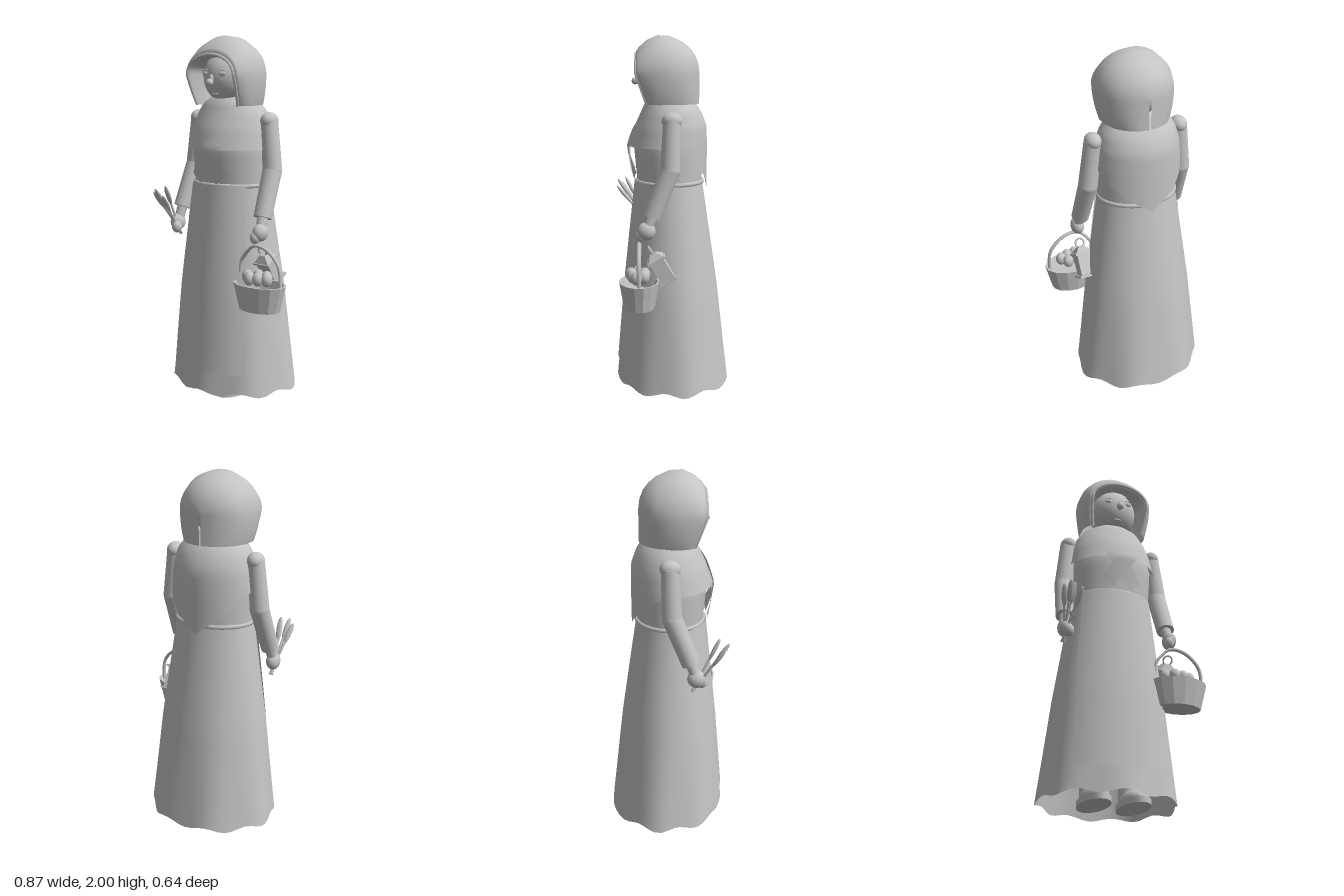
import * as THREE from 'three';
import { mergeVertices } from 'three/addons/utils/BufferGeometryUtils.js';

const CX = -0.06; // body axis
const clay = new THREE.MeshStandardMaterial({ color: 0xc4c4c4, side: THREE.DoubleSide });
clay.name = 'light grey';
const V = (x, y, z) => new THREE.Vector3(x, y, z);

export function createModel() {
  const model = new THREE.Group();
  const add = (name, geo, parent = model) => {
    const m = new THREE.Mesh(geo, clay);
    m.name = name;
    parent.add(m);
    return m;
  };
  const group = (name, parent = model) => {
    const g = new THREE.Group();
    g.name = name;
    parent.add(g);
    return g;
  };
  // smooth sheet from fn(u, v) -> [x, y, z]
  const sheet = (nu, nv, fn) => {
    const pos = [], idx = [];
    for (let j = 0; j <= nv; j++) for (let i = 0; i <= nu; i++) pos.push(...fn(i / nu, j / nv));
    for (let j = 0; j < nv; j++) for (let i = 0; i < nu; i++) {
      const a = j * (nu + 1) + i, b = a + 1, c = a + nu + 1, d = c + 1;
      idx.push(a, b, d, a, d, c);
    }
    let g = new THREE.BufferGeometry();
    g.setAttribute('position', new THREE.Float32BufferAttribute(pos, 3));
    g.setIndex(idx);
    g = mergeVertices(g, 1e-5);
    g.computeVertexNormals();
    return g;
  };
  // linear lookup in rows sorted by their first column
  const lookup = (rows, t) => {
    let i = 0;
    while (i < rows.length - 2 && t > rows[i + 1][0]) i++;
    const f = THREE.MathUtils.clamp((t - rows[i][0]) / (rows[i + 1][0] - rows[i][0]), 0, 1);
    return rows[i].map((a, k) => a + (rows[i + 1][k] - a) * f);
  };
  const around = (rows, y, a, off = 0) => {
    const [, rx, rz, cz] = lookup(rows, y);
    return [CX + (rx + off) * Math.sin(a), y, cz + (rz + off) * Math.cos(a)];
  };
  const ball = (name, p, rx, ry, rz, parent, w = 24, h = 16) => {
    const m = add(name, new THREE.SphereGeometry(1, w, h), parent);
    m.position.set(...p);
    m.scale.set(rx, ry, rz);
    return m;
  };
  const limb = (name, a, b, ra, rb, parent, n = 16) => {
    const d = b.clone().sub(a);
    const m = add(name, new THREE.CylinderGeometry(rb, ra, d.length(), n), parent);
    m.position.copy(a).addScaledVector(d, 0.5);
    m.quaternion.setFromUnitVectors(V(0, 1, 0), d.normalize());
    return m;
  };

  // skirt with a gently wavy hem: rows are y, rx, rz, centre z
  const skirt = [[0.02, 0.375, 0.322, 0], [0.6, 0.31, 0.262, 0.01], [1.19, 0.225, 0.185, 0.022]];
  add('skirt', sheet(56, 14, (u, v) => {
    const a = (u * 2 - 1) * Math.PI, low = (1 - v) ** 2;
    const y = 0.02 + 1.17 * v + low * 0.012 * (1 + Math.cos(9 * a));
    return around(skirt, y, a, 0.008 * low * Math.cos(7 * a));
  }));
  add('apron', sheet(20, 14, (u, v) => {
    const a = (u * 2 - 1) * (0.72 + 0.23 * v);
    return around(skirt, 0.155 + 1.035 * v, a, 0.014);
  }));
  const belt = add('waistband', new THREE.TorusGeometry(1, 0.05, 8, 40));
  belt.rotation.x = Math.PI / 2;
  belt.scale.set(0.222, 0.187, 0.25);
  belt.position.set(CX, 1.19, 0.022);

  // bodice and pointed shawl
  const bodice = [[1.18, 0.224, 0.182, 0.022], [1.42, 0.235, 0.198, 0.028], [1.62, 0.16, 0.12, 0.02]];
  add('bodice', sheet(40, 8, (u, v) => around(bodice, 1.18 + 0.44 * v, (u * 2 - 1) * Math.PI)));
  const shawl = [[1.15, 0.25, 0.2, 0.012], [1.39, 0.253, 0.22, 0.03], [1.5, 0.237, 0.203, 0.016],
    [1.58, 0.212, 0.17, 0.012], [1.64, 0.17, 0.135, 0.02], [1.68, 0.09, 0.09, 0.03]];
  add('shawl', sheet(48, 14, (u, v) => {
    const a = (u * 2 - 1) * Math.PI;
    const y0 = 1.39 - 0.24 * Math.max(0, (Math.abs(a) - 1.75) / (Math.PI - 1.75));
    return around(shawl, y0 + (1.68 - y0) * v, a);
  }));
  // crossed shawl ends lying on the chest
  for (const s of [-1, 1]) {
    add('crossedBand', sheet(4, 14, (u, v) => {
      const w = (u - 0.5) * 0.085;
      const x = s * (-0.088 + 0.23 * v) + w * 0.8, y = 1.225 + 0.31 * v - s * w * 0.6;
      const [, rx, rz, cz] = lookup(shawl, y);
      return [CX + x, y, cz + rz * Math.sqrt(1 - (x / rx) ** 2) + 0.01 + 0.003 * s];
    }));
  }

  // head and face
  const head = group('head');
  ball('face', [CX, 1.775, 0.06], 0.135, 0.14, 0.13, head, 32, 24);
  const hair = add('hair', new THREE.SphereGeometry(1, 32, 8, 0, Math.PI * 2, 0, 1.0), head);
  hair.scale.set(0.14, 0.145, 0.136);
  hair.position.set(CX, 1.775, 0.06);
  for (const s of [-1, 1]) {
    ball('eye', [CX + s * 0.057, 1.795, 0.176], 0.025, 0.013, 0.008, head, 16, 10);
    ball('pupil', [CX + s * 0.057, 1.795, 0.182], 0.01, 0.01, 0.005, head, 12, 8);
    const brow = add('eyebrow', new THREE.TorusGeometry(0.03, 0.003, 6, 10, 1.8), head);
    brow.rotation.z = Math.PI / 2 - 0.9;
    brow.position.set(CX + s * 0.057, 1.788, 0.175);
  }
  ball('noseBridge', [CX, 1.765, 0.195], 0.011, 0.03, 0.014, head, 12, 10);
  ball('noseTip', [CX, 1.75, 0.213], 0.02, 0.02, 0.021, head, 14, 10);
  ball('mouth', [CX, 1.687, 0.162], 0.024, 0.007, 0.007, head, 14, 8);

  // hood: arches stacked from back to front, then folded inward
  const arches = [[-0.145, 0.005, 0.01], [-0.138, 0.06, 0.06], [-0.12, 0.108, 0.105], [-0.09, 0.15, 0.143],
    [-0.05, 0.185, 0.175], [0.02, 0.212, 0.206], [0.09, 0.213, 0.21], [0.15, 0.203, 0.183],
    [0.195, 0.186, 0.142], [0.208, 0.172, 0.12], [0.195, 0.155, 0.1], [0.09, 0.142, 0.085]];
  const archPoint = ([z, w, h], u) => {
    const a = (1 - 2 * u) * 2.6, over = Math.max(0, (Math.abs(a) - Math.PI / 2) / (2.6 - Math.PI / 2));
    const tilt = z > 0.1 ? 0.055 * over * (z - 0.1) / 0.1 : 0;
    const c = Math.min(Math.abs(a), Math.PI / 2);
    return [CX + Math.sign(a) * w * Math.sin(c) * (1 - 0.12 * over * over),
      1.79 + h * Math.cos(c) - 0.165 * over, z - tilt];
  };
  add('hood', sheet(48, arches.length - 1, (u, v) => archPoint(arches[Math.round(v * (arches.length - 1))], u)), head);
  const rimPath = [];
  for (let i = 0; i <= 20; i++) rimPath.push(V(...archPoint([0.208, 0.165, 0.11], i / 20)));
  add('hoodRim', new THREE.TubeGeometry(new THREE.CatmullRomCurve3(rimPath), 48, 0.009, 6), head);

  // arms
  const arm = (side, shoulder, elbow, wrist, hand) => {
    const g = group(side + 'Arm');
    ball('shoulder', shoulder.toArray(), 0.046, 0.046, 0.056, g);
    limb('upperSleeve', elbow, shoulder, 0.054, 0.048, g);
    ball('elbow', elbow.toArray(), 0.054, 0.054, 0.054, g);
    limb('lowerSleeve', wrist, elbow, 0.05, 0.054, g);
    limb('wrist', hand, wrist, 0.028, 0.03, g, 12);
    ball('hand', hand.toArray(), 0.038, 0.05, 0.05, g);
    ball('thumb', [hand.x * 0.95, hand.y - 0.025, hand.z + 0.03], 0.028, 0.035, 0.03, g, 14, 10);
  };
  arm('right', V(-0.312, 1.545, 0.015), V(-0.335, 1.28, 0.025), V(-0.352, 1.03, 0.125), V(-0.36, 0.945, 0.155));
  arm('left', V(0.198, 1.545, 0.015), V(0.228, 1.28, 0.025), V(0.24, 1.03, 0.125), V(0.248, 0.955, 0.155));

  // bunch of spoons in the right hand
  const spoons = group('spoons');
  for (const [x, y, z] of [[-0.395, 1.08, 0.27], [-0.345, 1.11, 0.25], [-0.37, 1.1, 0.29], [-0.322, 1.07, 0.29]]) {
    const bottom = V(-0.36 - (x + 0.36) * 0.2, 0.87, 0.13), top = V(x, y, z);
    limb('spoonHandle', bottom, top, 0.007, 0.007, spoons, 6);
    const bowl = ball('spoonBowl', [x, y, z], 0.017, 0.065, 0.011, spoons, 10, 8);
    bowl.quaternion.setFromUnitVectors(V(0, 1, 0), top.sub(bottom).normalize());
  }

  // basket with eggs
  const basket = group('basket');
  basket.position.set(0.276, 0.54, 0.195);
  const tub = add('basketTub', new THREE.LatheGeometry([[0, 0], [0.125, 0], [0.162, 0.145],
    [0.148, 0.145], [0.122, 0.085], [0, 0.085]].map(([x, y]) => new THREE.Vector2(x, y)), 14).toNonIndexed(), basket);
  tub.geometry.computeVertexNormals();
  tub.scale.z = 0.68;
  const bend = [[-0.138, 0.12], [-0.125, 0.25], [-0.105, 0.285], [-0.04, 0.345], [0.045, 0.335],
    [0.115, 0.275], [0.135, 0.23], [0.14, 0.12]].map(([x, y]) => V(x, y, 0));
  const handle = add('basketHandle', new THREE.TubeGeometry(new THREE.CatmullRomCurve3(bend), 28, 0.009, 6), basket);
  handle.scale.z = 1.3;
  for (const [x, z] of [[-0.075, 0.01], [-0.035, 0.045], [-0.03, -0.03], [0.015, 0.035], [0.03, -0.025], [0.06, 0.015]])
    ball('egg', [x, 0.175, z], 0.031, 0.038, 0.031, basket, 12, 9);

  // lantern hanging tilted beside the basket
  const lantern = group('lantern');
  lantern.position.set(0.246, 0.742, 0.07);
  lantern.rotation.x = 0.53;
  add('lanternBody', new THREE.BoxGeometry(0.085, 0.125, 0.08), lantern);
  for (const y of [-0.07, 0.063])
    add('lanternPlate', new THREE.BoxGeometry(0.11, 0.012, 0.105), lantern).position.y = y;
  const roof = add('lanternRoof', new THREE.CylinderGeometry(0.025, 0.07, 0.035, 4).toNonIndexed(), lantern);
  roof.geometry.computeVertexNormals();
  roof.rotation.y = Math.PI / 4;
  roof.position.y = 0.085;
  add('lanternRing', new THREE.TorusGeometry(0.026, 0.005, 6, 18), lantern).position.y = 0.122;

  // legs and shoes under the skirt
  for (const x of [-0.167, 0.047]) {
    limb('leg', V(x, 0.06, 0.02), V(x, 0.65, 0.02), 0.05, 0.06);
    const sole = add('sole', new THREE.CylinderGeometry(1, 1, 0.03, 28));
    sole.scale.set(0.08, 1, 0.158);
    sole.position.set(x, 0.015, 0.102);
    const upper = add('shoe', new THREE.SphereGeometry(1, 24, 8, 0, Math.PI * 2, 0, Math.PI / 2));
    upper.scale.set(0.072, 0.065, 0.145);
    upper.position.set(x, 0.03, 0.1);
  }
  return model;
}
